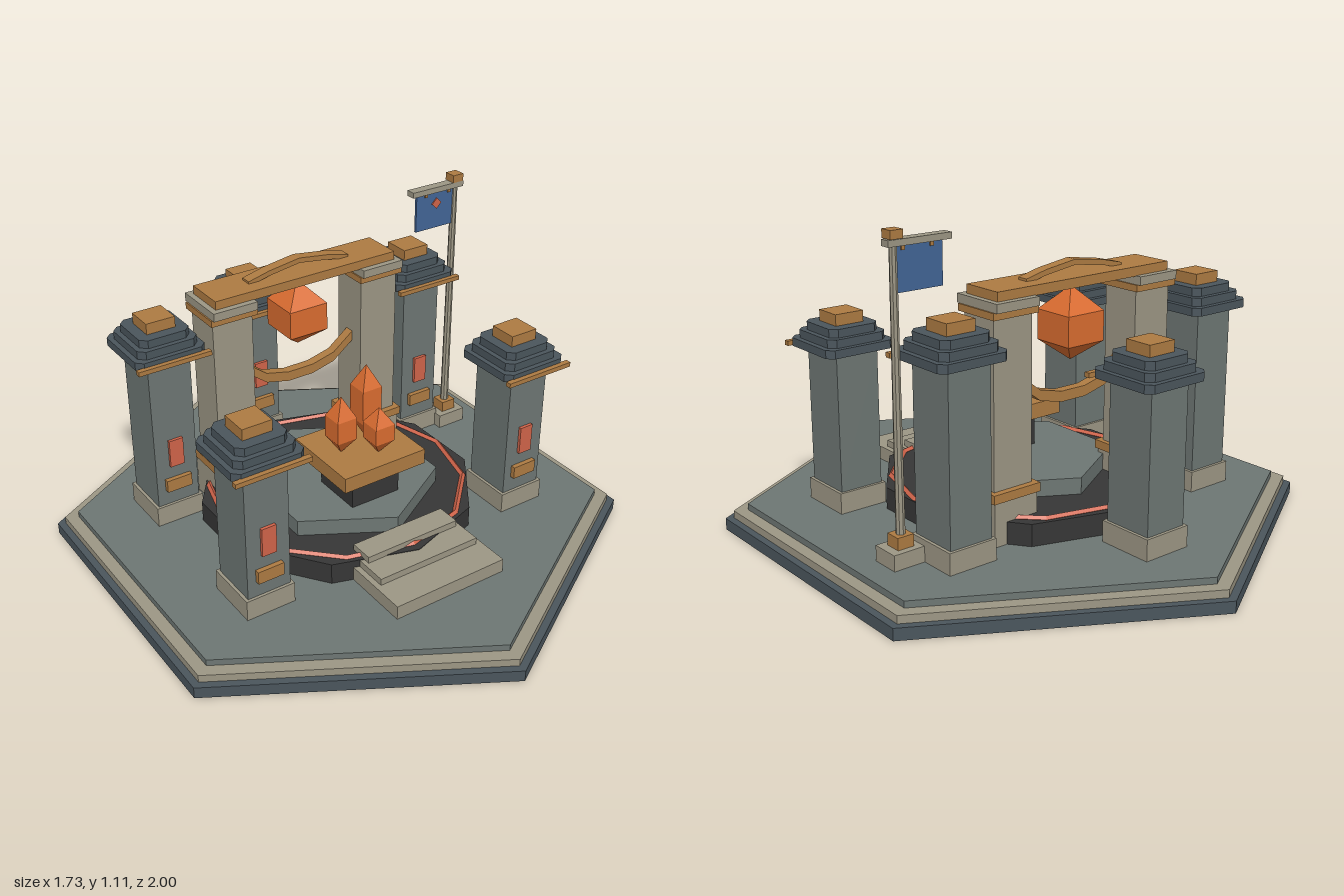
import * as THREE from 'three';

const mat = (name, color) => {
  const m = new THREE.MeshStandardMaterial({ color });
  m.name = name;
  return m;
};

export function createModel() {
  const slate = mat('slate', 0x4a555c);
  const stone = mat('greyStone', 0x6d7673);
  const sand = mat('sandstone', 0x9c9684);
  const bronze = mat('bronze', 0xad7b42);
  const dark = mat('darkStone', 0x363636);
  const red = mat('redGlow', 0xd0644a);
  const orange = mat('orangeCrystal', 0xd96c30);
  const blue = mat('blueCloth', 0x426596);

  const root = new THREE.Group();
  const group = (name, x = 0, y = 0, z = 0, parent = root) => {
    const g = new THREE.Group();
    g.name = name;
    g.position.set(x, y, z);
    parent.add(g);
    return g;
  };
  // faceted mesh
  const add = (parent, name, geo, material, x = 0, y = 0, z = 0) => {
    const flat = geo.index ? geo.toNonIndexed() : geo;
    flat.computeVertexNormals();
    const m = new THREE.Mesh(flat, material);
    m.name = name;
    m.position.set(x, y, z);
    parent.add(m);
    return m;
  };
  // box given by width, depth and its bottom and top heights
  const box = (p, name, material, w, d, y0, y1, x = 0, z = 0) =>
    add(p, name, new THREE.BoxGeometry(w, y1 - y0, d), material, x, (y0 + y1) / 2, z);
  const prism = (p, name, material, sides, r0, r1, y0, y1, z = 0) =>
    add(p, name, new THREE.CylinderGeometry(r1, r0, y1 - y0, sides), material, 0, (y0 + y1) / 2, z);
  // square slab with cut corners
  const slab = (p, name, material, h, c, y0, y1) => {
    const s = new THREE.Shape([
      [-h + c, -h], [h - c, -h], [h, -h + c], [h, h - c],
      [h - c, h], [-h + c, h], [-h, h - c], [-h, -h + c],
    ].map(([x, y]) => new THREE.Vector2(x, y)));
    const g = new THREE.ExtrudeGeometry(s, { depth: y1 - y0, bevelEnabled: false });
    g.rotateX(-Math.PI / 2);
    return add(p, name, g, material, 0, y0, 0);
  };
  // square crystal, pointed at both ends
  const crystal = (p, name, half, y0, yLow, yHigh, y1, x, z) => {
    const r = half * Math.SQRT2;
    const pts = [[0, y0], [r, yLow], [r, yHigh], [0, y1]].map(([a, b]) => new THREE.Vector2(a, b));
    return add(p, name, new THREE.LatheGeometry(pts, 4, Math.PI / 4), orange, x, 0, z);
  };
  // bent beam following points in the front plane
  const beam = (p, name, pts, height, depth, z) => {
    const up = pts.map(([x, y]) => new THREE.Vector2(x, y + height / 2));
    const low = pts.map(([x, y]) => new THREE.Vector2(x, y - height / 2)).reverse();
    const g = new THREE.ExtrudeGeometry(new THREE.Shape([...low, ...up]), { depth, bevelEnabled: false });
    return add(p, name, g, bronze, 0, 0, z - depth / 2);
  };

  // Hexagonal terrace
  const base = group('base');
  prism(base, 'baseFoot', slate, 6, 1, 1, 0, 0.04);
  prism(base, 'baseBorder', sand, 6, 0.972, 0.972, 0.04, 0.066);
  prism(base, 'baseFloor', stone, 6, 0.924, 0.924, 0.066, 0.088);

  // Central dais with glowing ring
  const dais = group('dais');
  prism(dais, 'lowerDais', dark, 10, 0.485, 0.485, 0.088, 0.163, -0.02);
  const ring = new THREE.TorusGeometry(0.45, 0.01, 4, 12);
  ring.rotateX(Math.PI / 2);
  add(dais, 'glowRing', ring, red, 0, 0.165, -0.02);
  prism(dais, 'upperDais', stone, 6, 0.335, 0.335, 0.163, 0.22, 0.01);

  // Front steps
  const steps = group('steps');
  [[0.43, 0.635, 0.137], [0.39, 0.52, 0.161], [0.36, 0.43, 0.184]].forEach(([w, front, top], i) =>
    box(steps, 'step' + (i + 1), sand, w, front - 0.345, 0.088, top, 0, (front + 0.345) / 2));

  // Altar and its crystals
  const altar = group('altar');
  box(altar, 'altarPedestal', dark, 0.19, 0.19, 0.22, 0.335, 0, 0.12);
  box(altar, 'altarTop', bronze, 0.324, 0.3, 0.335, 0.39, 0, 0.12);
  crystal(altar, 'leftCrystal', 0.038, 0.385, 0.445, 0.525, 0.6, -0.077, 0.12);
  crystal(altar, 'tallCrystal', 0.038, 0.385, 0.46, 0.585, 0.665, 0.05, 0.082);
  crystal(altar, 'frontCrystal', 0.038, 0.385, 0.44, 0.5, 0.56, 0.027, 0.19);

  // Gateway
  const gate = group('gateway', 0, 0, -0.263);
  for (const side of [-1, 1]) {
    const x = side * 0.295;
    box(gate, 'gatePlinth', sand, 0.17, 0.17, 0.088, 0.235, x);
    box(gate, 'gateBaseBand', bronze, 0.185, 0.185, 0.235, 0.265, x);
    box(gate, 'gateColumn', sand, 0.15, 0.14, 0.265, 0.818, x);
    box(gate, 'gateCapBand', bronze, 0.175, 0.175, 0.815, 0.838, x);
    box(gate, 'gateCap', sand, 0.165, 0.195, 0.838, 0.867, x);
  }
  box(gate, 'lintel', bronze, 0.715, 0.15, 0.865, 0.897);
  beam(gate, 'lintelArch', [[-0.2, 0.896], [-0.12, 0.915], [0, 0.932], [0.12, 0.915], [0.2, 0.896]], 0.018, 0.04, 0);
  beam(gate, 'hangingGarland',
    [[-0.225, 0.585], [-0.14, 0.52], [-0.05, 0.498], [0.05, 0.498], [0.14, 0.52], [0.225, 0.585]], 0.036, 0.035, 0);
  crystal(gate, 'hangingCrystal', 0.075, 0.61, 0.675, 0.775, 0.855, 0, 0);

  // Five roofed pillars; the middle pair is taller
  const pillar = (x, z, lift) => {
    const p = group('pillar', x, 0, z);
    const top = 0.63 + lift;
    box(p, 'pillarBase', sand, 0.176, 0.196, 0.088, 0.16);
    box(p, 'pillarShaft', stone, 0.155, 0.176, 0.16, top);
    box(p, 'redPanel', red, 0.052, 0.014, 0.31, 0.412, 0, 0.092);
    box(p, 'bronzePlate', bronze, 0.094, 0.02, 0.217, 0.262, 0, 0.095);
    [0.126, 0.108, 0.09].forEach((h, i) =>
      slab(p, 'roofTier' + (i + 1), slate, h, 0.022, top + i * 0.028, top + (i + 1) * 0.028));
    box(p, 'roofTrim', bronze, 0.265, 0.02, top - 0.004, top + 0.012, 0, 0.133);
    box(p, 'roofCap', bronze, 0.104, 0.1, top + 0.084, top + 0.122);
  };
  pillar(0, -0.62, 0);
  for (const side of [-1, 1]) {
    pillar(side * 0.517, -0.32, 0.09);
    pillar(side * 0.517, 0.28, 0);
  }

  // Flagpole with hanging banner
  const flag = group('flagpole', 0.657, 0, -0.24);
  box(flag, 'poleBase', sand, 0.116, 0.1, 0.088, 0.14);
  box(flag, 'poleSocket', bronze, 0.058, 0.056, 0.14, 0.18);
  add(flag, 'pole', new THREE.CylinderGeometry(0.012, 0.015, 0.9, 8), sand, 0, 0.63, 0);
  box(flag, 'poleCap', bronze, 0.044, 0.044, 1.08, 1.107);
  box(flag, 'bannerArm', sand, 0.222, 0.036, 1.058, 1.078, -0.084);
  box(flag, 'banner', blue, 0.16, 0.009, 0.92, 1.06, -0.09);
  for (const x of [-0.13, -0.03]) box(flag, 'bannerClip', bronze, 0.012, 0.02, 1.044, 1.06, x);
  const diamond = new THREE.CylinderGeometry(0.02, 0.02, 0.006, 4);
  diamond.rotateX(Math.PI / 2);
  add(flag, 'bannerDiamond', diamond, red, -0.083, 1.013, 0.006);

  return root;
}
